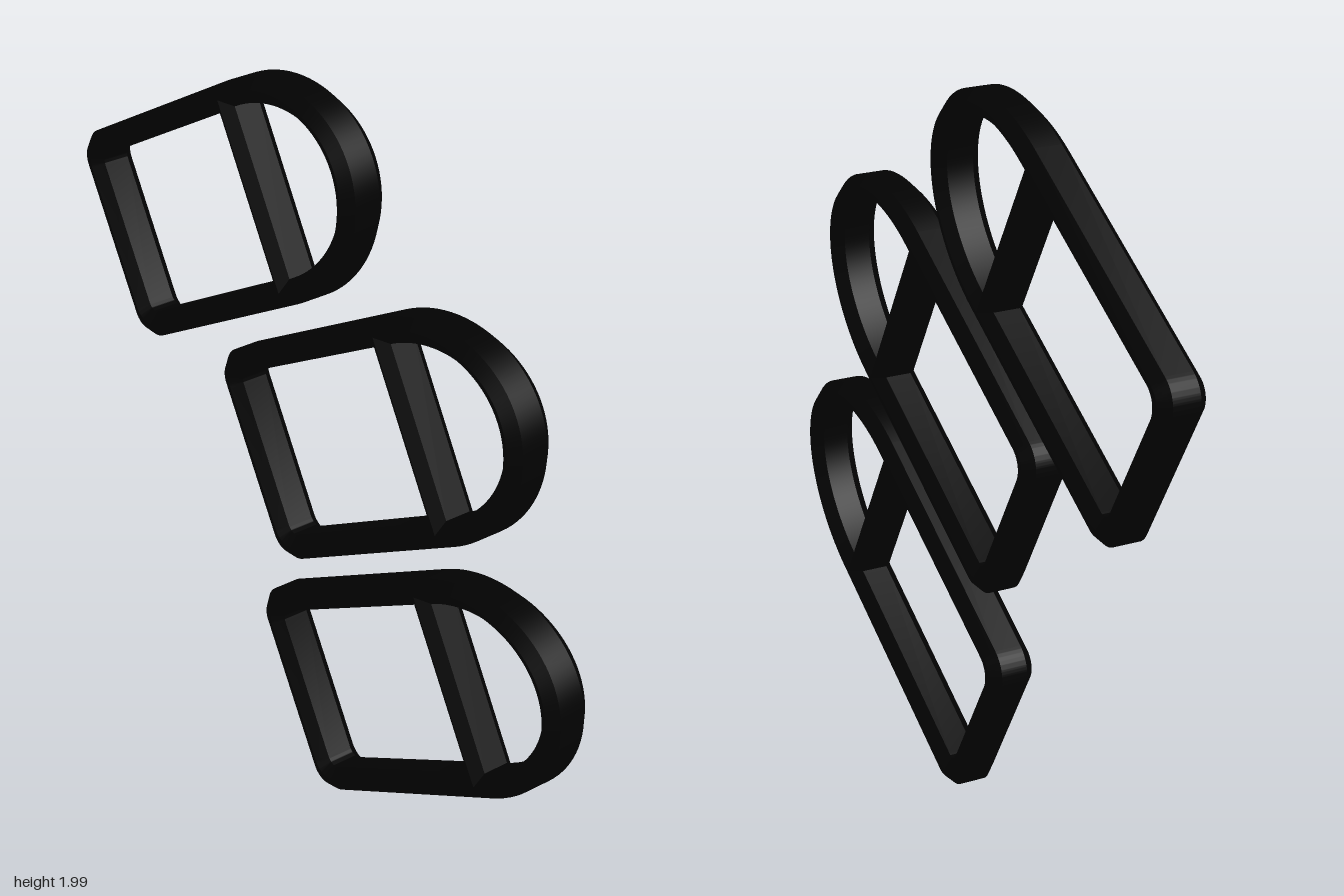
import * as THREE from 'three';
import { toCreasedNormals } from 'three/addons/utils/BufferGeometryUtils.js';

const LENGTH = 0.79;    // straight part, from the back edge to the dome
const HALF = 0.29;      // half the outer width
const DOME = 0.405;     // how far the dome reaches past the straight part
const BAND = 0.066;     // width of the outline
const BAR = 0.06;       // width of the cross bar
const DEPTH = 0.127;
const BEVEL = 0.027;

// Outline with a rounded square back and an elliptical nose
function outerOutline() {
  const r = 0.08, s = new THREE.Shape();
  s.moveTo(r, -HALF);
  s.lineTo(LENGTH, -HALF);
  s.absellipse(LENGTH, 0, DOME, HALF, -Math.PI / 2, Math.PI / 2, false);
  s.lineTo(r, HALF);
  s.absarc(r, HALF - r, r, Math.PI / 2, Math.PI, false);
  s.lineTo(0, -HALF + r);
  s.absarc(r, -HALF + r, r, Math.PI, Math.PI * 1.5, false);
  return s;
}

// Window behind the cross bar
function bodyWindow() {
  const r = 0.03, h = HALF - BAND, x0 = BAND, x1 = LENGTH - BAR, p = new THREE.Path();
  p.moveTo(x0 + r, -h);
  p.lineTo(x1, -h);
  p.lineTo(x1, h);
  p.lineTo(x0 + r, h);
  p.absarc(x0 + r, h - r, r, Math.PI / 2, Math.PI, false);
  p.lineTo(x0, -h + r);
  p.absarc(x0 + r, -h + r, r, Math.PI, Math.PI * 1.5, false);
  return p;
}

// Half-elliptical window in the nose
function domeWindow() {
  const h = HALF - BAND, p = new THREE.Path();
  p.moveTo(LENGTH, -h);
  p.absellipse(LENGTH, 0, DOME - BAND, h, -Math.PI / 2, Math.PI / 2, false);
  p.lineTo(LENGTH, -h);
  return p;
}

export function createModel() {
  const group = new THREE.Group();
  group.name = 'roundNosedFrames';

  const shape = outerOutline();
  shape.holes.push(bodyWindow(), domeWindow());
  const extruded = new THREE.ExtrudeGeometry(shape, {
    depth: DEPTH - 2 * BEVEL, curveSegments: 24,
    bevelEnabled: true, bevelThickness: BEVEL, bevelSize: BEVEL,
    bevelOffset: -BEVEL, bevelSegments: 1,
  });
  extruded.translate(0, 0, -(DEPTH - 2 * BEVEL) / 2);
  const geometry = toCreasedNormals(extruded, 0.5);
  const material = new THREE.MeshStandardMaterial({ color: 0x020202 });

  // Three equal frames, tilted by 30 degrees; positions mark the middle of the back edge
  const places = [
    ['lowerFrame', -0.072, 0.225],
    ['middleFrame', -0.247, 0.880],
    ['upperFrame', -0.879, 1.274],
  ];
  for (const [name, x, y] of places) {
    const frame = new THREE.Mesh(geometry, material);
    frame.name = name;
    frame.position.set(x, y, 0);
    frame.rotation.z = Math.PI / 6;
    group.add(frame);
  }
  return group;
}
